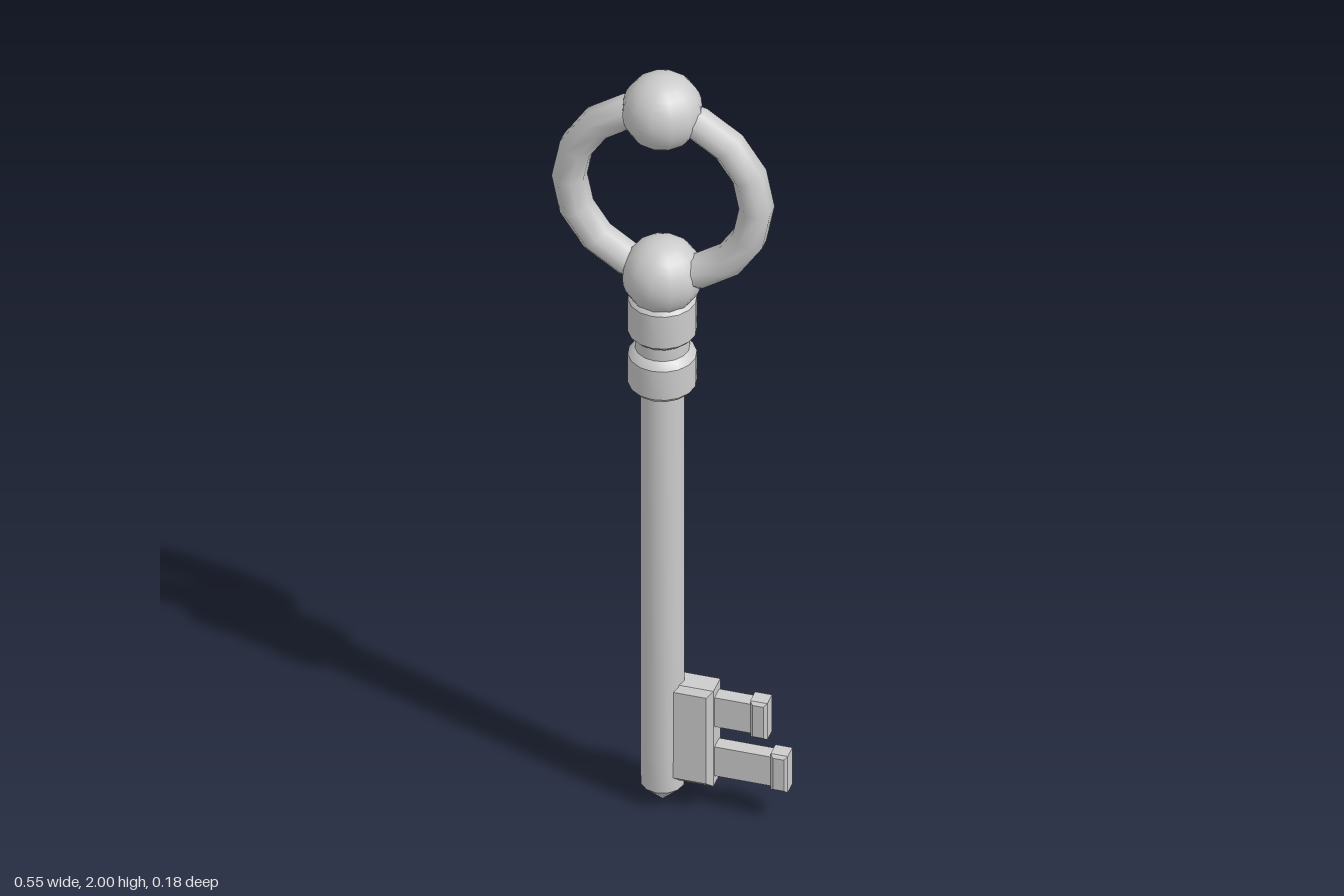
import * as THREE from 'three';
import { toCreasedNormals } from 'three/addons/utils/BufferGeometryUtils.js';

const CX = -0.02; // x of the shaft axis

export function createModel() {
  const group = new THREE.Group();
  const material = new THREE.MeshStandardMaterial({ color: 0xcccccc });

  function add(name, geometry, x, y, z) {
    const mesh = new THREE.Mesh(geometry, material);
    mesh.name = name;
    mesh.position.set(x, y, z);
    group.add(mesh);
    return mesh;
  }

  // Turned part from [radius, height] pairs, listed from bottom to top
  function turned(points, sides, crease = 0.6) {
    const profile = points.map(([r, y]) => new THREE.Vector2(r, y));
    return toCreasedNormals(new THREE.LatheGeometry(profile, sides), crease);
  }

  // Box with chamfered edges, given by its limits in x and y and its depth
  function chamferedBox(name, x0, x1, y0, y1, depth, c) {
    const w = (x1 - x0) / 2 - c, h = (y1 - y0) / 2 - c;
    const shape = new THREE.Shape([
      new THREE.Vector2(-w, -h), new THREE.Vector2(w, -h),
      new THREE.Vector2(w, h), new THREE.Vector2(-w, h),
    ]);
    const geometry = new THREE.ExtrudeGeometry(shape, {
      depth: depth - 2 * c, bevelEnabled: true, bevelSegments: 1, bevelSize: c, bevelThickness: c,
    });
    geometry.translate(0, 0, c - depth / 2);
    add(name, geometry, (x0 + x1) / 2, (y0 + y1) / 2, -0.007);
  }

  // Shaft with pointed tip
  add('shaft', turned([[0, 0], [0.026, 0.026], [0.05, 0.05], [0.051, 0.14], [0.051, 1.2]], 12), CX, 0, -0.002);

  // Collar: two bands around a narrow neck
  add('collar', turned([
    [0, 1.15], [0.07, 1.15], [0.078, 1.16], [0.078, 1.238], [0.07, 1.249],
    [0.062, 1.256], [0.062, 1.287], [0.07, 1.293], [0.078, 1.302],
    [0.078, 1.39], [0.07, 1.4], [0, 1.4],
  ], 16), CX, 0, 0);

  // Ball joints below and above the ring
  for (const [name, y] of [['lowerBall', 1.456], ['upperBall', 1.908]]) {
    add(name, new THREE.SphereGeometry(0.092, 12, 16), CX, y, 0);
  }

  // Ring handle with an eight-sided section
  const section = [];
  for (let i = 0; i <= 8; i++) {
    const a = (i + 0.5) * Math.PI / 4;
    section.push([0.22 + 0.04 * Math.cos(a), 0.0435 * Math.sin(a)]);
  }
  const ring = add('ringHandle', turned(section, 16, 0.9), CX, 1.68, -0.006);
  ring.rotation.x = Math.PI / 2;

  // Bit plate and its two teeth
  chamferedBox('bitPlate', 0, 0.106, 0.075, 0.338, 0.078, 0.013);
  for (const [name, end, y] of [['upperTooth', 0.23, 0.275], ['lowerTooth', 0.278, 0.139]]) {
    const length = end - 0.12;
    add(name + 'Stem', new THREE.BoxGeometry(length, 0.08, 0.036), 0.09 + length / 2, y, -0.007);
    chamferedBox(name + 'Head', end - 0.04, end, y - 0.05, y + 0.05, 0.05, 0.007);
  }
  return group;
}
